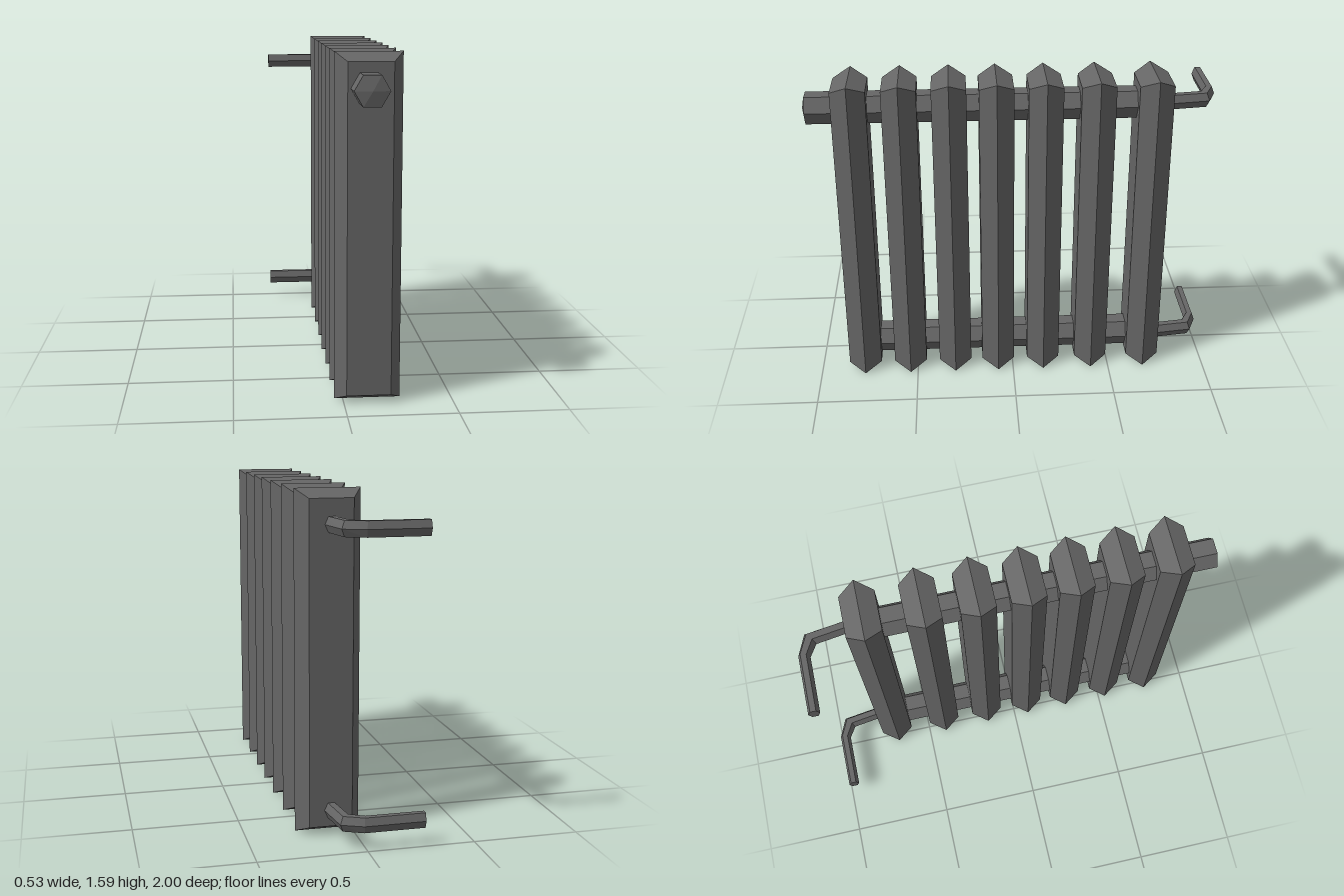
import * as THREE from 'three';

const material = new THREE.MeshStandardMaterial({ color: 0x666666, flatShading: true });

function addPart(group, name, geometry, x = 0, y = 0, z = 0) {
  const mesh = new THREE.Mesh(geometry, material);
  mesh.name = name;
  mesh.position.set(x, y, z);
  group.add(mesh);
}

// Tall fin: widest at its middle plane, tapering to the front and back faces
function finGeometry() {
  const geo = new THREE.BoxGeometry(0.304, 1.585, 0.166, 1, 1, 2);
  const pos = geo.attributes.position;
  for (let i = 0; i < pos.count; i++) {
    if (Math.abs(pos.getZ(i)) > 0.01) {
      pos.setX(i, pos.getX(i) * 0.665);
      pos.setY(i, pos.getY(i) * 0.949);
    }
  }
  geo.computeVertexNormals();
  return geo;
}

// Six-sided header pipe along z with shallow pointed ends
function headerGeometry(back, front, radius, tip) {
  const profile = [[0, back], [radius, back + tip], [radius, front - tip], [0, front]];
  const points = profile.map(([r, y]) => new THREE.Vector2(r, y));
  return new THREE.LatheGeometry(points, 6, Math.PI / 2).rotateX(Math.PI / 2);
}

// Bent six-sided pipe; each section is [outer x, outer z, inner x, inner z]
function elbowGeometry() {
  const sections = [
    [0.151, -0.70, 0.088, -0.70],
    [0.116, -0.957, 0.058, -0.91],
    [0.016, -1.0, 0.0, -0.946],
    [-0.27, -1.0, -0.27, -0.946],
  ];
  const ring = [[0, 0], [0.25, 1], [0.75, 1], [1, 0], [0.75, -1], [0.25, -1]];
  const vertices = [];
  const index = [];
  for (const [ox, oz, ix, iz] of sections) {
    for (const [t, up] of ring) {
      vertices.push(ox + (ix - ox) * t, up * 0.0355, oz + (iz - oz) * t);
    }
  }
  for (let i = 0; i < sections.length - 1; i++) {
    for (let j = 0; j < 6; j++) {
      const a = i * 6 + j;
      const b = i * 6 + (j + 1) % 6;
      index.push(a, a + 6, b, b, a + 6, b + 6);
    }
  }
  // Flat caps at both ends
  const last = (sections.length - 1) * 6;
  for (let j = 1; j < 5; j++) {
    index.push(0, j, j + 1);
    index.push(last, last + j + 1, last + j);
  }
  const geo = new THREE.BufferGeometry();
  geo.setAttribute('position', new THREE.Float32BufferAttribute(vertices, 3));
  geo.setIndex(index);
  geo.computeVertexNormals();
  return geo;
}

export function createModel() {
  const model = new THREE.Group();
  model.name = 'radiator';

  // Fins, slightly unevenly spaced
  const fin = finGeometry();
  [0.773, 0.537, 0.302, 0.077, -0.158, -0.408, -0.683].forEach((z, i) => {
    addPart(model, `fin${i + 1}`, fin, 0.112, 0.7925, z);
  });

  // Header pipes through the fins; the upper one sticks out at the front
  addPart(model, 'upperHeader', headerGeometry(-0.72, 1.0, 0.0785, 0.015), 0.1025, 1.43, 0);
  addPart(model, 'lowerHeader', headerGeometry(-0.72, 0.8, 0.0785, 0.015), 0.1025, 0.127, 0);

  // Bent supply pipes at the back
  const elbow = elbowGeometry();
  addPart(model, 'upperSupplyPipe', elbow, 0, 1.43, 0);
  addPart(model, 'lowerSupplyPipe', elbow, 0, 0.118, 0);

  return model;
}
